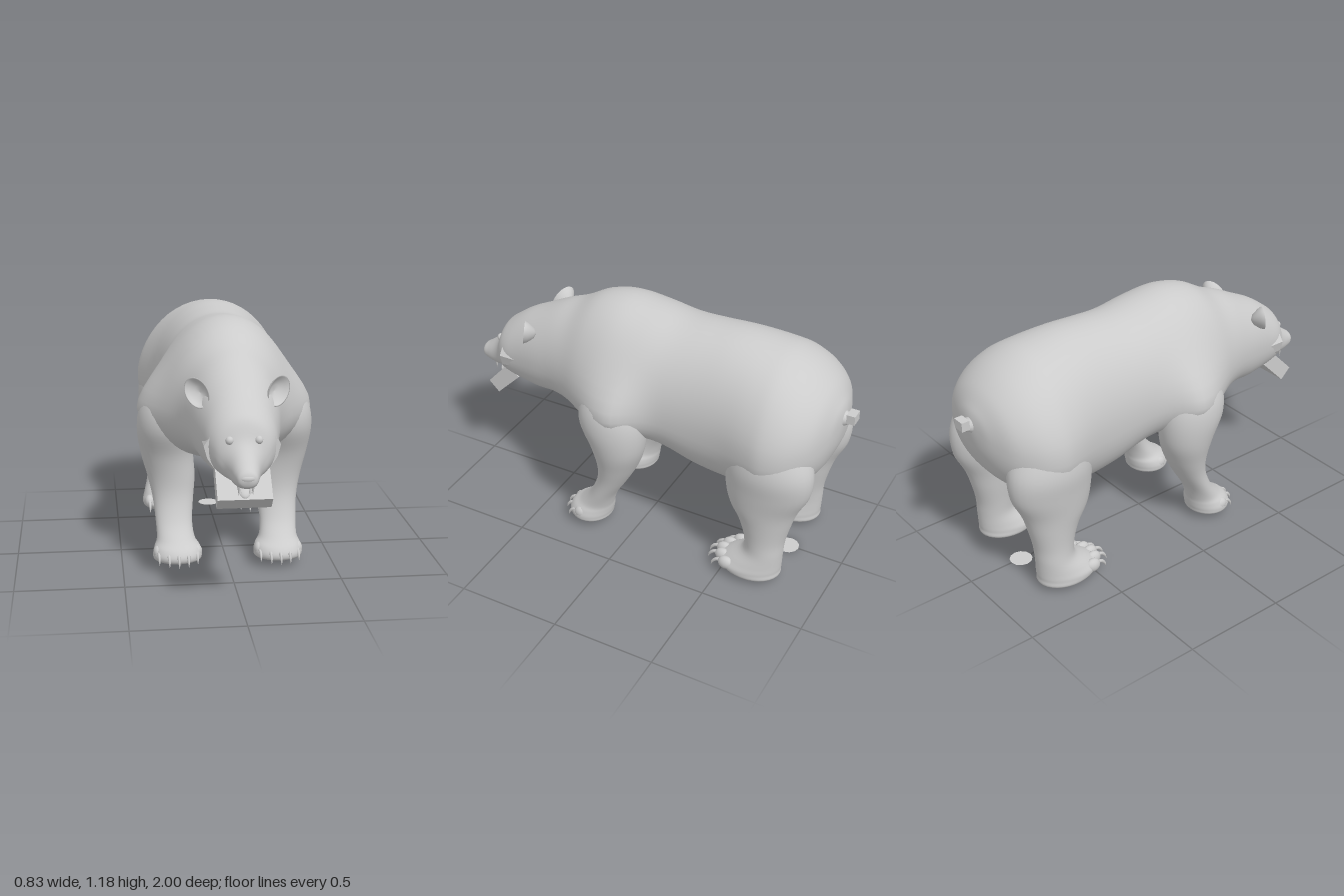
import * as THREE from 'three';

const material = new THREE.MeshStandardMaterial({ color: 0xcccccc, side: THREE.DoubleSide });

function add(parent, geometry, name, x = 0, y = 0, z = 0) {
  const mesh = new THREE.Mesh(geometry, material);
  mesh.name = name;
  mesh.position.set(x, y, z);
  parent.add(mesh);
  return mesh;
}

// Catmull-Rom blend of every column of a table of cross-sections
function sample(rows, t) {
  const n = rows.length - 1;
  const i = Math.min(Math.floor(t * n), n - 1);
  const f = t * n - i;
  const at = (k) => rows[Math.max(0, Math.min(n, k))];
  return rows[i].map((_, c) => {
    const [a, b, d, e] = [at(i - 1)[c], at(i)[c], at(i + 1)[c], at(i + 2)[c]];
    return b + 0.5 * f * (d - a + f * (2 * a - 5 * b + 4 * d - e + f * (3 * (b - d) + e - a)));
  });
}

// Smooth skin over cross-sections; ring(section, cos, sin) gives one point
function loft(rows, ring, steps = 5, sides = 48) {
  const positions = [], index = [];
  const count = (rows.length - 1) * steps;
  for (let i = 0; i <= count; i++) {
    const section = sample(rows, i / count);
    for (let j = 0; j < sides; j++) {
      const a = (j / sides) * Math.PI * 2;
      positions.push(...ring(section, Math.cos(a), Math.sin(a)));
      if (i === count) continue;
      const p = i * sides + j, q = i * sides + ((j + 1) % sides);
      index.push(p, q, p + sides, q, q + sides, p + sides);
    }
  }
  const geometry = new THREE.BufferGeometry();
  geometry.setAttribute('position', new THREE.Float32BufferAttribute(positions, 3));
  geometry.setIndex(index);
  geometry.computeVertexNormals();
  return geometry;
}

// Body, neck, head and muzzle: z, top, bottom, half width, height of widest point
const bodyRows = [
  [-0.95, 0.84, 0.84, 0, 0.84], [-0.942, 0.89, 0.76, 0.06, 0.83], [-0.925, 0.93, 0.68, 0.14, 0.8],
  [-0.88, 1.0, 0.58, 0.25, 0.78], [-0.8, 1.07, 0.5, 0.32, 0.77], [-0.7, 1.12, 0.45, 0.345, 0.77],
  [-0.6, 1.14, 0.43, 0.335, 0.77], [-0.45, 1.155, 0.415, 0.312, 0.76], [-0.3, 1.15, 0.43, 0.3, 0.76],
  [-0.15, 1.145, 0.485, 0.3, 0.77], [0, 1.165, 0.52, 0.305, 0.78], [0.15, 1.18, 0.5, 0.3, 0.78],
  [0.28, 1.155, 0.535, 0.275, 0.78], [0.4, 1.09, 0.56, 0.237, 0.78], [0.5, 1.05, 0.565, 0.21, 0.78],
  [0.6, 1.0, 0.555, 0.19, 0.77], [0.7, 0.95, 0.565, 0.168, 0.75], [0.78, 0.895, 0.58, 0.15, 0.735],
  [0.83, 0.85, 0.585, 0.122, 0.725], [0.865, 0.775, 0.585, 0.085, 0.68], [0.9, 0.735, 0.58, 0.066, 0.655],
  [0.95, 0.695, 0.59, 0.052, 0.64], [0.985, 0.67, 0.605, 0.038, 0.638], [0.997, 0.64, 0.64, 0, 0.64],
];
const soft = (v) => Math.sign(v) * Math.abs(v) ** 0.86;
const hill = (d, width) => Math.exp(-0.5 * (d / width) ** 2);

// The flanks swell over the shoulders and hips
function bodyRing([z, top, bottom, w, mid], c, s) {
  const y = s > 0 ? mid + (top - mid) * s : mid + (mid - bottom) * soft(s);
  const shoulder = 0.115 * hill(y - 0.71, 0.14) * hill(z - 0.06, z > 0.06 ? 0.16 : 0.08);
  const hip = 0.035 * hill(y - 0.66, 0.16) * hill(z + 0.69, 0.12);
  return [w * (s > 0 ? c : soft(c)) + c * (shoulder + hip), y, z];
}

// Legs from inside the flank to the sole: y, centre x, centre z, half width, half depth
const frontLegRows = [
  [0.92, 0.22, 0.1, 0, 0], [0.87, 0.235, 0.1, 0.09, 0.1], [0.76, 0.262, 0.1, 0.135, 0.155],
  [0.65, 0.28, 0.09, 0.137, 0.165], [0.52, 0.275, 0.068, 0.126, 0.132],
  [0.4, 0.256, 0.08, 0.113, 0.098], [0.3, 0.25, 0.11, 0.097, 0.074], [0.2, 0.25, 0.16, 0.087, 0.064],
  [0.13, 0.245, 0.203, 0.09, 0.082], [0.095, 0.24, 0.23, 0.108, 0.103], [0.06, 0.24, 0.242, 0.116, 0.108],
  [0.035, 0.24, 0.238, 0.1, 0.09], [0.028, 0.24, 0.235, 0, 0],
];
const rearLegRows = [
  [0.9, 0.2, -0.69, 0, 0], [0.84, 0.21, -0.69, 0.1, 0.12], [0.74, 0.226, -0.69, 0.13, 0.18],
  [0.64, 0.236, -0.695, 0.138, 0.208], [0.53, 0.236, -0.69, 0.126, 0.205], [0.42, 0.235, -0.675, 0.112, 0.168],
  [0.33, 0.236, -0.687, 0.1, 0.128], [0.235, 0.24, -0.692, 0.09, 0.1], [0.16, 0.245, -0.688, 0.09, 0.098],
  [0.1, 0.245, -0.645, 0.106, 0.138], [0.06, 0.245, -0.62, 0.116, 0.16], [0.025, 0.245, -0.645, 0.1, 0.125],
  [0, 0.245, -0.67, 0, 0],
];

function leg(parent, name, rows, side, toeZ) {
  const group = new THREE.Group();
  group.name = name;
  parent.add(group);
  add(group, loft(rows, ([y, x, z, rx, rz], c, s) => [side * x + rx * c, y, z + rz * s], 5, 32), 'limb');
  // Five toes, each with a hooked claw
  const claw = [[0.08, 0.025, 0.01], [0.073, 0.05, 0.008], [0.052, 0.07, 0.005], [0.03, 0.077, 0]];
  for (let k = -2; k <= 2; k++) {
    const x = side * 0.24 + k * 0.045, z = toeZ - k * k * 0.012;
    add(group, new THREE.SphereGeometry(1, 14, 10), 'toe', x, 0.073, z).scale.set(0.026, 0.034, 0.04);
    add(group, loft(claw, ([cy, cz, r], c, s) => [r * c, cy + r * 0.7 * s, cz + r * s], 2, 8), 'claw', x, 0, z);
  }
}

export function createModel() {
  const bear = new THREE.Group();
  bear.name = 'bear';
  add(bear, loft(bodyRows, bodyRing), 'body');

  for (const side of [-1, 1]) {
    const label = side > 0 ? 'left' : 'right';
    leg(bear, label + 'FrontLeg', frontLegRows, side, 0.3);
    leg(bear, label + 'RearLeg', rearLegRows, side, -0.49);

    // Cupped ear, open to the front
    const cup = [[0, -0.9], [0.45, -0.65], [0.85, 0], [1, 0.4], [0.92, 0.4], [0.75, 0.05], [0.4, -0.3], [0, -0.4]]
      .map(([x, y]) => new THREE.Vector2(x, y));
    const earShape = new THREE.LatheGeometry(cup, 28);
    earShape.rotateX(Math.PI / 2);
    earShape.scale(0.053, 0.073, 0.045);
    const ear = add(bear, earShape, label + 'Ear', side * 0.17, 0.925, 0.615);
    ear.rotation.set(-0.15, side * 0.5, -side * 0.6);

    add(bear, new THREE.SphereGeometry(0.018, 16, 12), label + 'Eye', side * 0.062, 0.772, 0.852);

    // Angular cheek ruff, its back buried in the head
    const outline = [[0, 0.62], [0.11, 0.62], [0.15, 0.68], [0.165, 0.735], [0.13, 0.785], [0.1, 0.75], [0, 0.75]]
      .map(([x, y]) => new THREE.Vector2(side * x, y));
    const ruff = new THREE.ExtrudeGeometry(new THREE.Shape(outline), { depth: 0.08, bevelEnabled: false });
    add(bear, ruff, label + 'Cheek', 0, 0, 0.715);

    // Fangs
    const upper = add(bear, new THREE.ConeGeometry(0.008, 0.045, 8), label + 'UpperFang', side * 0.03, 0.572, 0.915);
    upper.rotation.x = Math.PI;
    add(bear, new THREE.ConeGeometry(0.007, 0.035, 8), label + 'LowerFang', side * 0.022, 0.568, 0.888);
  }

  add(bear, new THREE.SphereGeometry(1, 20, 12), 'nose', 0, 0.643, 0.972).scale.set(0.04, 0.02, 0.026);
  const jaw = add(bear, new THREE.SphereGeometry(1, 20, 14), 'lowerJaw', 0, 0.565, 0.84);
  jaw.scale.set(0.036, 0.024, 0.07);
  jaw.rotation.x = 0.5;

  // Tilted block under the jaw
  const block = add(bear, new THREE.BoxGeometry(0.235, 0.075, 0.18), 'jawBlock', 0, 0.565, 0.815);
  block.rotation.x = Math.PI / 4;

  // Tail stub with a square tip
  const stub = add(bear, new THREE.CylinderGeometry(0.018, 0.055, 0.06, 20), 'tailBase', 0, 0.84, -0.945);
  stub.rotation.x = -Math.PI / 2;
  add(bear, new THREE.BoxGeometry(0.06, 0.045, 0.04), 'tailTip', 0, 0.857, -0.98);

  // Small flat disc on the ground between the rear feet
  add(bear, new THREE.CircleGeometry(0.055, 12), 'groundDisc', 0, 0.001, -0.72).rotation.x = -Math.PI / 2;
  return bear;
}
